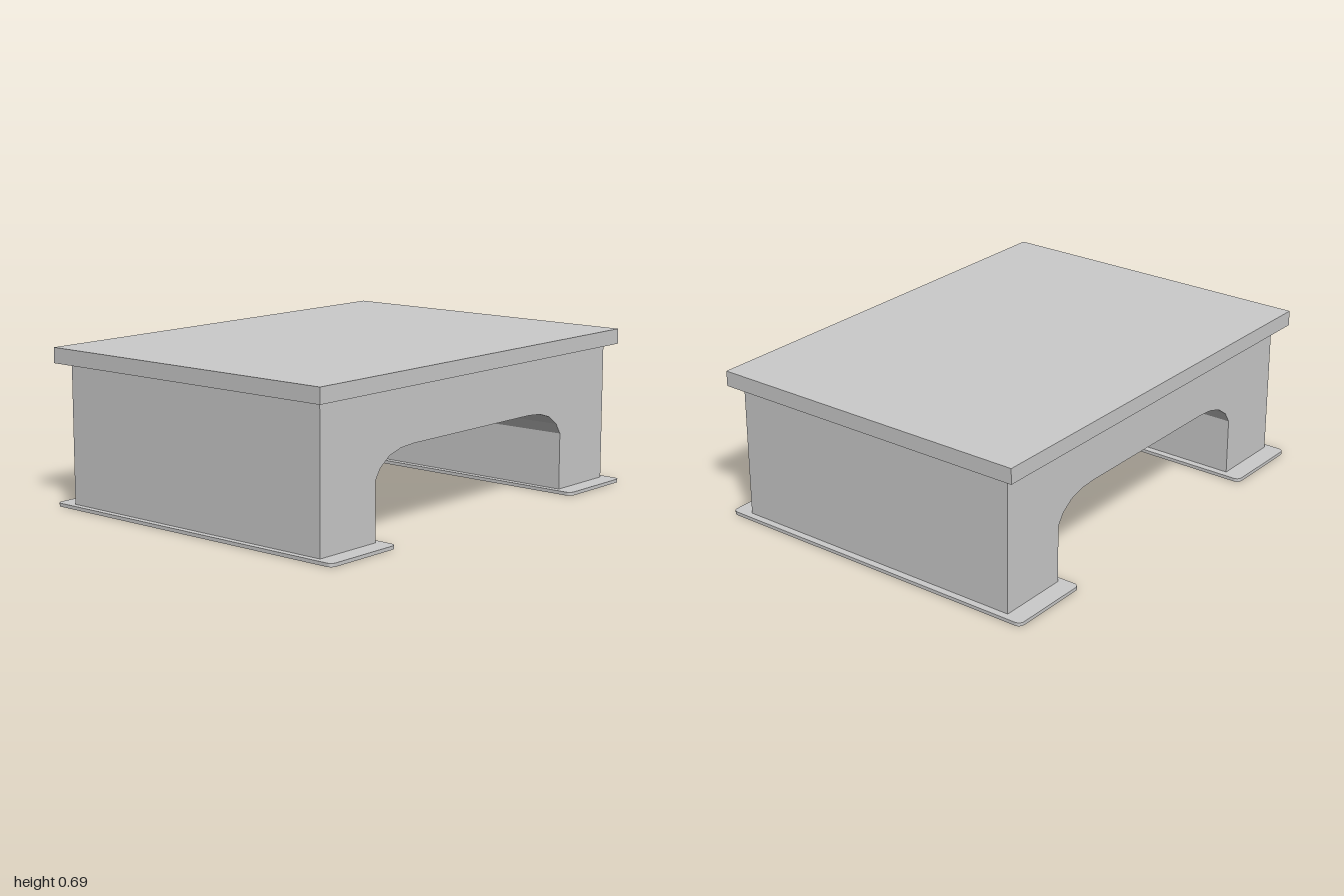
import * as THREE from 'three';

const material = new THREE.MeshStandardMaterial({ color: 0xcccccc, flatShading: true });

function addMesh(group, name, geometry, x, y, z) {
  const mesh = new THREE.Mesh(geometry, material);
  mesh.name = name;
  mesh.position.set(x, y, z);
  group.add(mesh);
}

// Thin plate lying flat, with small rounded corners
function plateGeometry(width, depth, height, r) {
  const w = width / 2, d = depth / 2;
  const s = new THREE.Shape();
  s.absarc(w - r, d - r, r, 0, Math.PI / 2);
  s.absarc(r - w, d - r, r, Math.PI / 2, Math.PI);
  s.absarc(r - w, r - d, r, Math.PI, Math.PI * 1.5);
  s.absarc(w - r, r - d, r, Math.PI * 1.5, Math.PI * 2);
  const g = new THREE.ExtrudeGeometry(s, { depth: height, bevelEnabled: false, curveSegments: 4 });
  return g.rotateX(-Math.PI / 2);
}

export function createModel() {
  const model = new THREE.Group();
  model.name = 'stepStool';

  // Overhanging top board
  addMesh(model, 'topBoard', new THREE.BoxGeometry(2, 0.067, 1.485), 0, 0.6515, -0.0125);

  // Body: a block with a faceted arch running front to back
  const halfBody = 0.95, bottom = 0.015, top = 0.618;
  const arch = [[0.625, 0.263], [0.595, 0.31], [0.538, 0.35], [0.47, 0.37], [0.39, 0.376]];
  const outline = [
    [-halfBody, bottom], [-0.625, bottom],
    ...arch.map(([x, y]) => [-x, y]),
    ...arch.slice().reverse(),
    [0.625, bottom], [halfBody, bottom], [halfBody, top], [-halfBody, top],
  ];
  const shape = new THREE.Shape(outline.map(([x, y]) => new THREE.Vector2(x, y)));
  const body = new THREE.ExtrudeGeometry(shape, { depth: 1.383, bevelEnabled: false });
  addMesh(model, 'archedBody', body, -0.01, 0, -0.69);

  // Foot plates under both legs
  for (const [name, side] of [['leftFootPlate', 1], ['rightFootPlate', -1]]) {
    addMesh(model, name, plateGeometry(0.385, 1.55, 0.015, 0.025), side * 0.787 - 0.008, 0, 0);
  }

  return model;
}
